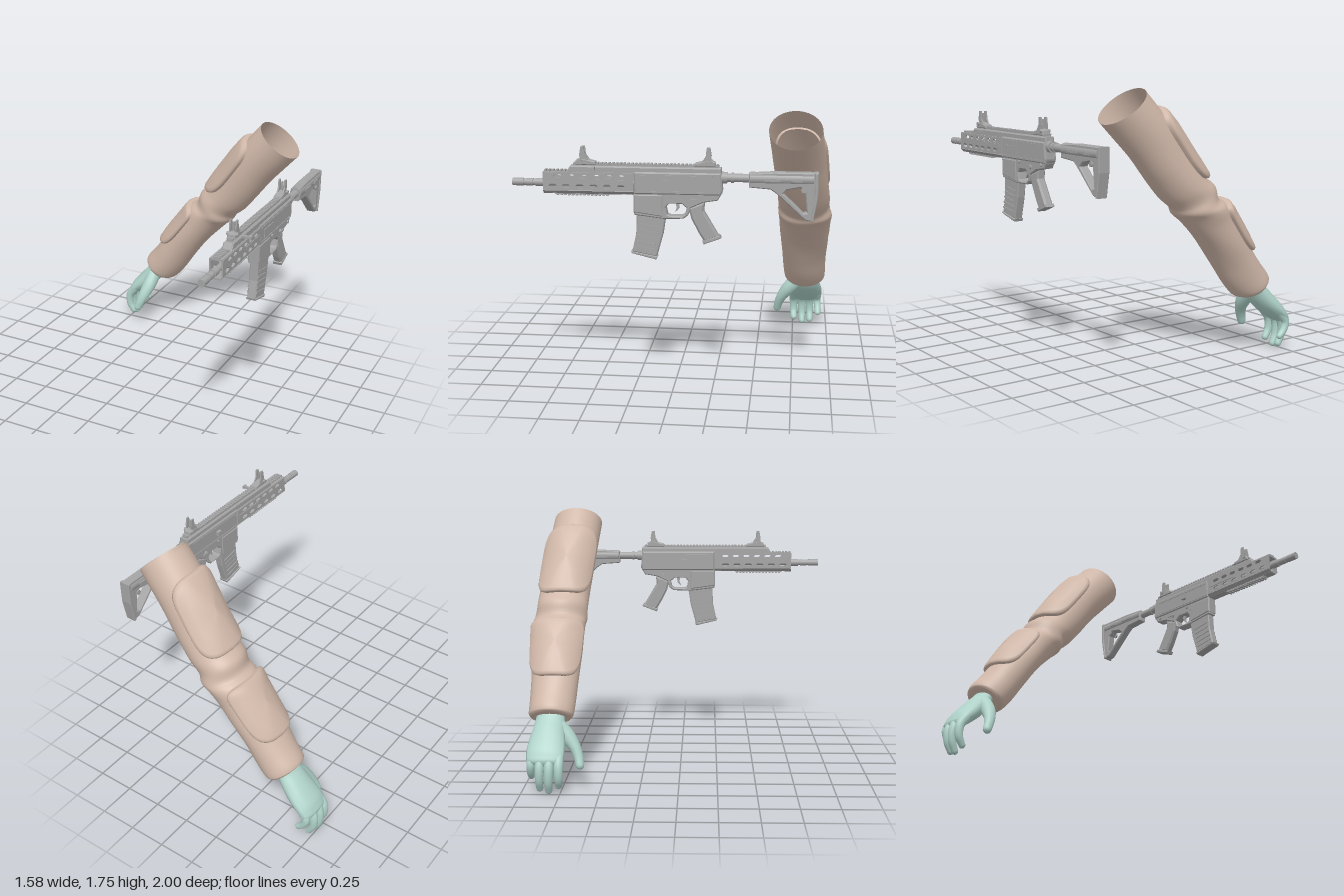
import * as THREE from 'three';

const mat = (name, color, side = THREE.FrontSide) => {
  const m = new THREE.MeshStandardMaterial({ color, side });
  m.name = name;
  return m;
};

export function createModel() {
  const root = new THREE.Group();
  const sleeveMat = mat('sleeveTan', 0xd0b8a9, THREE.DoubleSide);
  const skinMat = mat('gloveTeal', 0xb0d3ca);
  const metal = mat('gunGrey', 0xa4a4a4);

  const add = (parent, name, geo, material) => {
    const m = new THREE.Mesh(geo, material);
    m.name = name;
    parent.add(m);
    return m;
  };

  // Smooth skin over equal-length closed rings of points
  const skin = (rings) => {
    const n = rings[0].length, idx = [];
    for (let i = 0; i < rings.length - 1; i++)
      for (let j = 0; j < n; j++) {
        const a = i * n + j, b = i * n + (j + 1) % n;
        idx.push(a, b, a + n, b, b + n, a + n);
      }
    const g = new THREE.BufferGeometry().setFromPoints(rings.flat());
    g.setIndex(idx);
    g.computeVertexNormals();
    return g;
  };
  const ring = (n, f) => Array.from({ length: n }, (_, j) => f(j / n * Math.PI * 2));

  // ---------- sleeve: upper edge x,y, lower edge x,y, centre z, half width ----------
  const rows = [
    [-.6, .505, -.43, .385, -.83, .13], [-.613, .53, -.39, .395, -.83, .145],
    [-.54, .625, -.32, .47, -.825, .15], [-.47, .72, -.23, .6, -.82, .155],
    [-.38, .85, -.13, .735, -.82, .165], [-.285, .98, -.03, .85, -.82, .17],
    [-.23, 1.05, .045, .925, -.82, .178], [-.175, 1.08, .095, .965, -.815, .178],
    [-.15, 1.16, .115, 1.005, -.81, .172], [-.085, 1.215, .19, 1.07, -.805, .172],
    [.02, 1.36, .3, 1.2, -.79, .17], [.12, 1.5, .4, 1.33, -.775, .17],
    [.22, 1.625, .5, 1.44, -.76, .17], [.335, 1.755, .598, 1.545, -.745, .168]];
  const V = (x, y, z) => new THREE.Vector3(x, y, z);
  const curve = (pts) => new THREE.CatmullRomCurve3(pts, false, 'centripetal');
  const upper = curve(rows.map(r => V(r[0], r[1], r[4])));
  const lower = curve(rows.map(r => V(r[2], r[3], r[4])));
  const half = curve(rows.map((r, i) => V(r[5], i * .1, 0)));
  const sleevePoint = (t, ang, lift = 0) => {
    const u = upper.getPoint(t), l = lower.getPoint(t), h = half.getPoint(t).x;
    const fold = 1 + .014 * Math.sin(3 * ang + 26 * t) * Math.sin(Math.PI * t);
    const off = u.clone().sub(l).multiplyScalar(.5 * Math.cos(ang) * fold);
    off.z += h * Math.sin(ang) * fold;
    off.setLength(off.length() + lift);
    return u.add(l).multiplyScalar(.5).add(off);
  };
  const arm = new THREE.Group();
  arm.name = 'arm';
  root.add(arm);
  const sleeveRings = [ring(40, a => sleevePoint(0, a, -.09)), ring(40, a => sleevePoint(0, a, -.012))];
  for (let i = 0; i <= 52; i++) sleeveRings.push(ring(40, a => sleevePoint(i / 52, a)));
  add(arm, 'sleeve', skin(sleeveRings), sleeveMat);

  // Raised pads that follow the sleeve surface
  const pad = (name, t0, t1, spread, lift) => {
    const steps = [[1, -.015], [1, .5 * lift], [.96, .8 * lift], [.88, .97 * lift],
      [.6, lift], [.3, lift], [.01, lift]];
    const pw = v => Math.sign(v) * Math.abs(v) ** .55;
    const rings = steps.map(([s, h]) => ring(48, a => sleevePoint(
      (t0 + t1) / 2 + pw(Math.sin(a)) * s * (t1 - t0) / 2, pw(Math.cos(a)) * s * spread, h)));
    add(arm, name, skin(rings), sleeveMat);
  };
  pad('forearmPad', 2.95 / 13, 6.1 / 13, 1.18, .034);
  pad('upperArmPad', 8.95 / 13, 12.1 / 13, 1.18, .04);

  // ---------- hand: tapered limbs, rows of x, y, z, thickness, width ----------
  const hand = new THREE.Group();
  hand.name = 'hand';
  arm.add(hand);
  const limb = (name, pts) => {
    const path = curve(pts.map(p => V(p[0], p[1], p[2])));
    const radii = curve(pts.map((p, i) => V(p[3], p[4], i * .05)));
    const rings = [], zAxis = V(0, 0, 1);
    const section = (c, T, ra, rb) => {
      const a = zAxis.clone().cross(T).normalize(), b = T.clone().cross(a);
      rings.push(ring(16, q => c.clone().addScaledVector(a, ra * Math.cos(q)).addScaledVector(b, rb * Math.sin(q))));
    };
    for (let i = 0; i <= 18; i++) {
      const r = radii.getPoint(i / 18);
      section(path.getPoint(i / 18), path.getTangent(i / 18), r.x, r.y);
    }
    const r = radii.getPoint(1), T = path.getTangent(1);
    for (let k = 1; k <= 5; k++) {
      const q = k * Math.PI / 10, c = Math.max(Math.cos(q), .01);
      section(path.getPoint(1).addScaledVector(T, r.x * Math.sin(q)), T, r.x * c, r.y * c);
    }
    add(hand, name, skin(rings), skinMat);
  };
  limb('palm', [[-.49, .5, -.83, .06, .09], [-.535, .435, -.83, .058, .095], [-.585, .375, -.835, .066, .105],
    [-.65, .31, -.84, .062, .118], [-.705, .26, -.842, .052, .122], [-.735, .225, -.842, .04, .118]]);
  limb('thumb', [[-.55, .4, -.78, .05, .055], [-.56, .33, -.715, .05, .05], [-.58, .265, -.668, .042, .038],
    [-.6, .21, -.645, .034, .032], [-.62, .16, -.634, .03, .028]]);
  limb('indexFinger', [[-.7, .26, -.755, .034, .032], [-.752, .19, -.755, .031, .03], [-.755, .11, -.755, .027, .027], [-.725, .055, -.758, .023, .023]]);
  limb('middleFinger', [[-.71, .26, -.815, .034, .032], [-.76, .18, -.815, .031, .03], [-.762, .09, -.818, .027, .027], [-.735, .025, -.82, .023, .023]]);
  limb('ringFinger', [[-.71, .26, -.873, .034, .031], [-.757, .18, -.875, .031, .029], [-.758, .1, -.877, .026, .026], [-.728, .038, -.878, .022, .022]]);
  limb('littleFinger', [[-.7, .26, -.928, .032, .03], [-.738, .195, -.932, .028, .027], [-.72, .14, -.935, .024, .024], [-.685, .105, -.936, .021, .021]]);

  // ---------- rifle ----------
  const gun = new THREE.Group();
  gun.name = 'rifle';
  gun.position.x = .695;
  root.add(gun);
  const box = (name, w, h, d, x, y, z) => {
    const m = add(gun, name, new THREE.BoxGeometry(w, h, d), metal);
    m.position.set(x, y, z);
    return m;
  };
  const rod = (name, r, z0, z1, y, seg = 20) => {
    const m = add(gun, name, new THREE.CylinderGeometry(r, r, Math.abs(z1 - z0), seg), metal);
    m.rotation.x = Math.PI / 2;
    m.position.set(0, y, (z0 + z1) / 2);
  };
  const pin = (name, r, w, x, y, z) => {
    const m = add(gun, name, new THREE.CylinderGeometry(r, r, w, 14), metal);
    m.rotation.z = Math.PI / 2;
    m.position.set(x, y, z);
  };
  // Side outline (z, y) given a width across x
  const vec = pts => pts.map(p => new THREE.Vector2(p[0], p[1]));
  const profile = (name, pts, width, bevel = 0, holes = [], x = 0) => {
    const s = new THREE.Shape(vec(pts));
    holes.forEach(h => s.holes.push(new THREE.Path(vec(h))));
    const depth = width - 2 * bevel;
    const g = new THREE.ExtrudeGeometry(s, { depth, bevelEnabled: bevel > 0, bevelSize: bevel,
      bevelThickness: bevel, bevelOffset: -bevel, bevelSegments: 1 });
    g.translate(0, 0, -depth / 2).rotateY(-Math.PI / 2).translate(x, 0, 0);
    add(gun, name, g, metal);
  };
  const slot = (z, y, w, h) => [[z - w / 2, y], [z - w / 2 + h / 2, y - h / 2], [z + w / 2 - h / 2, y - h / 2],
    [z + w / 2, y], [z + w / 2 - h / 2, y + h / 2], [z - w / 2 + h / 2, y + h / 2]];

  // Barrel and flash hider
  rod('barrel', .02, .2, .98, 1.338);
  rod('muzzleFront', .024, .93, 1, 1.338);
  rod('muzzleMiddle', .023, .87, .915, 1.338);
  rod('muzzleRear', .025, .8, .855, 1.338);

  // Handguard: slotted sides, top, floor and rails
  const holes = [];
  for (let i = 0; i < 6; i++) {
    holes.push(slot(.705 - i * .078, 1.385, .055, .022));
    holes.push(slot(.74 - i * .085, 1.325, .055, .026));
  }
  for (const s of [-1, 1]) {
    profile('handguardSide', [[.235, 1.295], [.8, 1.295], [.8, 1.408], [.235, 1.408]], .01, 0, holes, s * .04);
    const chamfer = box('handguardLowerEdge', .008, .03, .565, s * .034, 1.288, .518);
    chamfer.rotation.z = s * -.8;
    box('sideRail', .008, .022, .22, s * .046, 1.357, .36);
  }
  box('handguardTop', .08, .012, .565, 0, 1.405, .518);
  box('handguardFloor', .058, .012, .565, 0, 1.283, .518);
  box('lowerRail', .042, .012, .34, 0, 1.275, .56);
  for (let i = 0; i < 14; i++) box('lowerRailTooth', .046, .01, .013, 0, 1.267, .715 - i * .024);
  for (let i = 0; i < 6; i++) box('frontRailTooth', .046, .012, .013, 0, 1.415, .79 - i * .024);

  // Upper receiver with toothed rail
  profile('upperReceiver', [[.66, 1.405], [.63, 1.45], [-.3, 1.45], [-.305, 1.4], [.235, 1.4]], .066, .008);
  profile('receiverBody', [[.235, 1.42], [.235, 1.28], [-.3, 1.28], [-.31, 1.31], [-.3, 1.42]], .084, .01);
  box('topRail', .036, .014, .9, 0, 1.455, .165);
  for (let i = 0; i < 38; i++) box('topRailTooth', .044, .01, .013, 0, 1.463, .605 - i * .0238);
  for (const s of [-1, 1]) {
    box('receiverRidge', .006, .012, .46, s * .043, 1.395, -.02);
    box('receiverSeam', .006, .006, .5, s * .043, 1.3, -.03);
  }
  box('ejectionCover', .008, .05, .14, .043, 1.345, .1);
  box('chargingStem', .06, .014, .02, .055, 1.44, .485);
  box('chargingKnob', .014, .02, .03, .084, 1.44, .485);
  box('boltCatch', .03, .03, .035, -.05, 1.35, .01);

  // Lower receiver, trigger and magazine well
  profile('lowerReceiver', [[.235, 1.3], [.235, 1.15], [.05, 1.128], [-.07, 1.132], [-.1, 1.155], [-.115, 1.2],
    [-.19, 1.235], [-.28, 1.25], [-.31, 1.3]], .07, .006,
    [[[.03, 1.155], [.04, 1.2], [.02, 1.225], [-.06, 1.225], [-.09, 1.2], [-.08, 1.16], [-.06, 1.147], [.01, 1.147]]]);
  profile('magazineWell', [[.238, 1.28], [.238, 1.165], [.055, 1.14], [.055, 1.28]], .08, .008);
  profile('trigger', [[-.02, 1.23], [-.045, 1.23], [-.04, 1.19], [-.015, 1.165], [-.025, 1.195]], .015);
  for (const s of [-1, 1]) {
    pin('frontPin', .011, .012, s * .038, 1.27, .02);
    pin('rearPin', .011, .012, s * .038, 1.27, -.25);
    pin('selector', .015, .016, s * .038, 1.25, -.12);
    box('selectorLever', .008, .012, .045, s * .046, 1.25, -.135);
  }

  // Magazine with ribs
  profile('magazine', [[.22, 1.17], [.04, 1.15], [.058, 1.03], [.098, .885], [.25, .915], [.225, 1.03]], .058, .006);
  profile('magazineFloor', [[.258, .918], [.092, .887], [.1, .868], [.253, .905]], .068, .004);
  for (const s of [-1, 1])
    for (let i = 0; i < 5; i++) {
      const rib = box('magazineRib', .008, .012, .13, s * .03, 1.08 - i * .035, .142 + i * .008);
      rib.rotation.x = -.17;
    }

  // Pistol grip
  profile('grip', [[-.1, 1.2], [-.2, 1.235], [-.195, 1.18], [-.29, 1.02], [-.2, .985], [-.165, 1.04], [-.118, 1.13]], .06, .012);
  profile('gripCap', [[-.185, .992], [-.195, .972], [-.302, 1.012], [-.292, 1.03]], .064, .004);

  // Stock and its tube
  rod('extensionTube', .026, -.29, -.55, 1.388);
  rod('tubeNut', .036, -.3, -.335, 1.388);
  rod('tubeRing', .031, -.36, -.375, 1.388);
  profile('stock', [[-.468, 1.42], [-.468, 1.335], [-.6, 1.325], [-.635, 1.3], [-.81, 1.14], [-.855, 1.13],
    [-.88, 1.28], [-.88, 1.43], [-.62, 1.43]], .062, .006,
    [[[-.675, 1.3], [-.7, 1.325], [-.78, 1.34], [-.81, 1.31], [-.823, 1.185], [-.8, 1.18]]]);
  rod('stockTube', .04, -.475, -.86, 1.388, 12);
  profile('buttPad', [[-.845, 1.132], [-.86, 1.128], [-.887, 1.28], [-.887, 1.43], [-.865, 1.43], [-.865, 1.28]], .076, .004);
  for (const s of [-1, 1]) {
    box('stockSlot', .008, .016, .1, s * .042, 1.385, -.61);
    box('stockSlot', .008, .016, .06, s * .042, 1.385, -.76);
    pin('stockPin', .016, .012, s * .033, 1.325, -.8);
  }

  // Flip-up sights, front and rear
  for (const [name, z, f] of [['frontSight', .535, 1], ['rearSight', -.2, -1]]) {
    const at = pts => pts.map(([a, b]) => [z + a * f, b]);
    profile(name + 'Base', at([[-.065, 1.455], [.065, 1.455], [.06, 1.485], [.02, 1.495], [-.06, 1.475]]), .055, .005);
    for (const s of [-1, 1])
      profile(name + 'Ear', at([[-.02, 1.48], [.035, 1.48], [.038, 1.52], [.03, 1.568], [.01, 1.568], [.005, 1.52]]), .01, 0, [], s * .02);
    box(name + 'Post', .012, .06, .012, 0, 1.525, z + f * .02);
    pin(name + 'Knob', .012, .075, 0, 1.482, z + f * .035);
  }
  return root;
}
